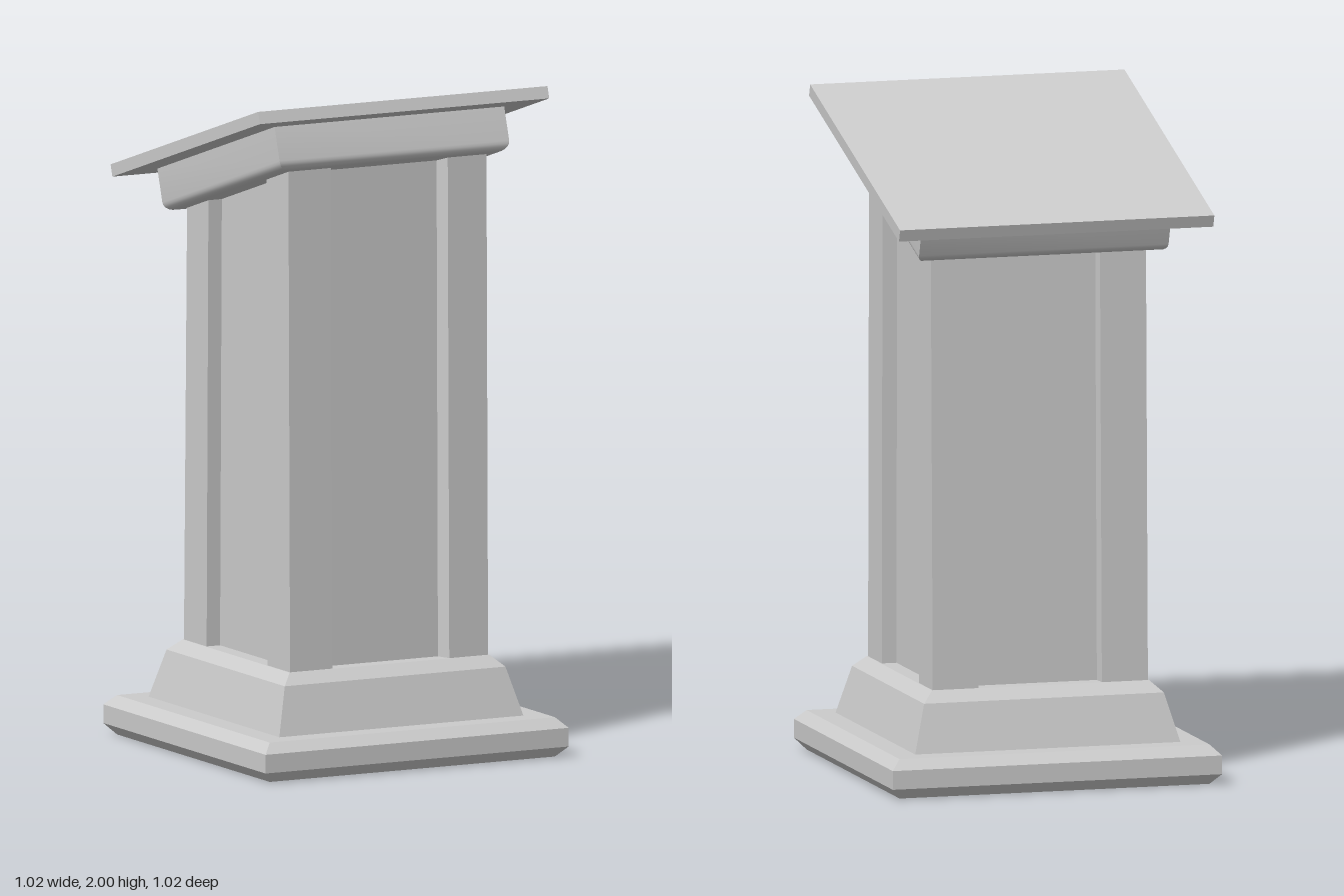
import * as THREE from 'three';
import { toCreasedNormals } from 'three/addons/utils/BufferGeometryUtils.js';

const material = new THREE.MeshStandardMaterial({ color: 0xcccccc });

function addMesh(parent, name, geometry) {
  const mesh = new THREE.Mesh(geometry, material);
  mesh.name = name;
  parent.add(mesh);
  return mesh;
}

// Square moulding: a profile of [half width, height] swept around four sides.
function squareMoulding(profile, crease) {
  const points = profile.map(([w, y]) => new THREE.Vector2(w * Math.SQRT2, y));
  const geometry = new THREE.LatheGeometry(points, 4).rotateY(Math.PI / 4);
  return toCreasedNormals(geometry, crease);
}

// Pillar with a recessed panel on each side, tapering in depth, cut to a sloping top.
function pillarGeometry(slope) {
  const half = 0.332, depth = 0.045, bottom = 0.29;
  const loop = [];
  for (let side = 0; side < 4; side++) {
    const lip = side === 0 ? 0.202 : 0.19;
    const outline = [[-half, half], [-0.19, half], [-0.19, half - depth],
      [0.188, half - depth], [lip, half]];
    const angle = side * Math.PI / 2, c = Math.cos(angle), s = Math.sin(angle);
    for (const [x, z] of outline) loop.push([x * c + z * s, z * c - x * s]);
  }
  const low = ([x, z]) => [x, bottom, z];
  const high = ([x, z]) => {
    const tz = z * (z > 0 ? 0.97 : 0.94);
    return [x, 1.72 + slope * tz, tz];
  };
  const positions = [];
  loop.forEach((a, i) => {
    const b = loop[(i + 1) % loop.length];
    positions.push(...low(a), ...low(b), ...high(b), ...low(a), ...high(b), ...high(a));
  });
  const geometry = new THREE.BufferGeometry();
  geometry.setAttribute('position', new THREE.Float32BufferAttribute(positions, 3));
  geometry.computeVertexNormals();
  return geometry;
}

export function createModel() {
  const model = new THREE.Group();
  model.name = 'lectern';
  const tilt = 0.309;

  // Stepped base
  addMesh(model, 'plinth', squareMoulding(
    [[0, 0], [0.478, 0], [0.508, 0.032], [0.508, 0.088], [0.478, 0.118], [0, 0.118]], 0.1));
  addMesh(model, 'baseMoulding', squareMoulding(
    [[0.41, 0.115], [0.37, 0.262], [0.335, 0.295], [0, 0.295]], 0.1));

  // Panelled pillar
  addMesh(model, 'pillar', pillarGeometry(Math.tan(tilt)));

  // Sloping head: block with rounded lower edges, and the reading board
  const head = new THREE.Group();
  head.name = 'head';
  head.position.set(0, 1.8175, -0.0325);
  head.rotation.x = -tilt;
  model.add(head);

  const radius = 0.028, blockHalf = 0.385, blockBottom = -0.13;
  const profile = [[0, blockBottom]];
  for (let i = 0; i <= 5; i++) {
    const a = (i / 5) * Math.PI / 2;
    profile.push([blockHalf - radius + radius * Math.sin(a),
      blockBottom + radius - radius * Math.cos(a)]);
  }
  profile.push([blockHalf, 0.005]);
  addMesh(head, 'headBlock', squareMoulding(profile, 0.6));

  addMesh(head, 'readingBoard', new THREE.BoxGeometry(0.97, 0.037, 0.97)).position.y = 0.0185;

  return model;
}
